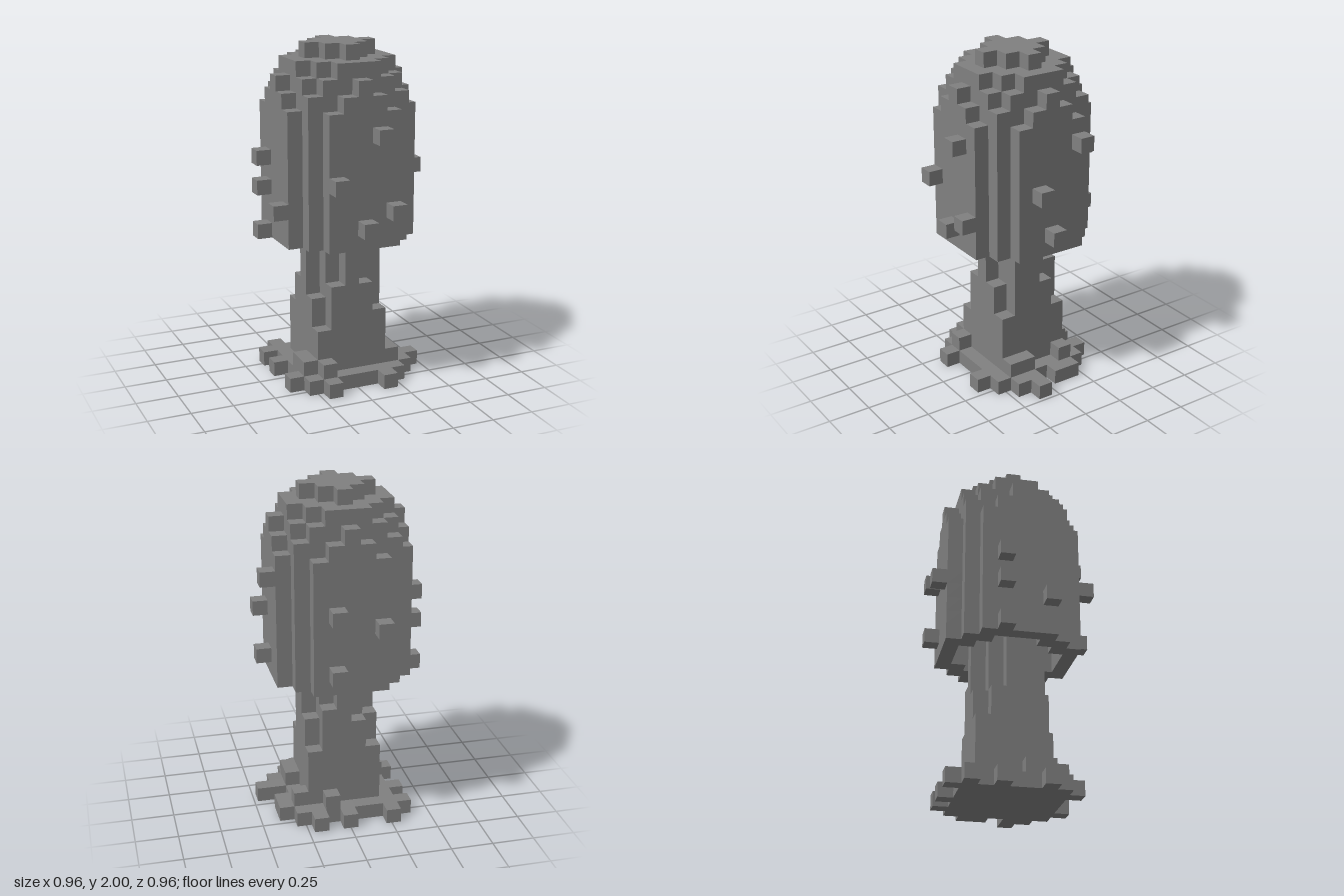
import * as THREE from 'three';
import { mergeGeometries } from 'three/addons/utils/BufferGeometryUtils.js';

const U = 2 / 23; // edge of one cube
const key = (x, y, z) => `${x},${y},${z}`;

// One outward quad for each side of a cube
const sides = [
  [1, 0, 0], [-1, 0, 0], [0, 1, 0], [0, -1, 0], [0, 0, 1], [0, 0, -1],
].map((d) => {
  const dir = new THREE.Vector3(...d);
  const face = new THREE.PlaneGeometry(U, U);
  face.applyQuaternion(new THREE.Quaternion().setFromUnitVectors(new THREE.Vector3(0, 0, 1), dir));
  face.translate(...dir.multiplyScalar(U / 2).toArray());
  return { d, face };
});

// Mesh of the exposed cube sides only
function cubeMesh(name, cells, filled, material) {
  const faces = [];
  for (const [x, y, z] of cells) {
    for (const { d, face } of sides) {
      if (filled.has(key(x + d[0], y + d[1], z + d[2]))) continue;
      faces.push(face.clone().translate(x * U, (y + 0.5) * U, z * U));
    }
  }
  const mesh = new THREE.Mesh(mergeGeometries(faces), material);
  mesh.name = name;
  return mesh;
}

// Hollow domed cap, open underneath: straight wall, then four shrinking layers
function capCells() {
  const cells = [];
  for (let y = 10; y <= 22; y++) {
    const outer = y <= 18 ? 20 : [18, 16, 10, 4][y - 19]; // squared radii
    const inner = y <= 19 ? 10 : -1;
    for (let x = -4; x <= 4; x++)
      for (let z = -4; z <= 4; z++) {
        const r2 = x * x + z * z;
        if (r2 <= outer && r2 > inner) cells.push([x, y, z]);
      }
  }
  return cells;
}

// Stem: diamond core, with shorter columns filling its corners
function stemCells() {
  const heights = {
    '1,2': 7, '-1,2': 7, '2,2': 5, '-2,2': 4, '-2,1': 6,
    '2,-1': 7, '1,-2': 8, '2,-2': 5, '-1,-2': 7, '-2,-1': 7, '-2,-2': 5,
  };
  const cells = [];
  for (let x = -2; x <= 2; x++)
    for (let z = -2; z <= 2; z++) {
      const top = heights[`${x},${z}`] ?? 20;
      for (let y = 1; y < top; y++) cells.push([x, y, z]);
    }
  return cells;
}

// Base: round slab with a ragged rim and a few raised cubes
function baseCells() {
  const cells = [];
  for (let x = -3; x <= 3; x++)
    for (let z = -3; z <= 3; z++)
      if (x * x + z * z <= 13) cells.push([x, 0, z]);
  const rim = [
    [2, 4], [-2, 4], [3, 3], [-3, 3], [4, 2], [4, 1], [5, 1], [4, -1], [4, -2],
    [3, -3], [2, -4], [0, -4], [-3, -3], [-3, -4], [-4, -3], [-4, -1], [-4, 2],
  ];
  const raised = [[3, 1], [3, 2], [3, -2], [-2, 3], [-3, 2], [1, -3], [-3, 1]];
  rim.forEach(([x, z]) => cells.push([x, 0, z]));
  raised.forEach(([x, z]) => cells.push([x, 1, z]));
  return cells;
}

// Single cubes standing out from the cap walls
const spotCells = [
  [1, 17, 5], [-2, 14, 5], [2, 12, 5], [0, 11, 5],
  [5, 14, 1], [5, 11, 0], [5, 17, -2],
  [1, 15, -5], [1, 11, -5], [-2, 14, -5],
  [-5, 15, -1], [-5, 13, -1], [-5, 10, -1], [-5, 12, 2],
];

export function createModel() {
  const group = new THREE.Group();
  group.name = 'mushroom';
  const material = new THREE.MeshStandardMaterial({ color: 0x808080, flatShading: true });
  const parts = { cap: capCells(), capSpots: spotCells, stem: stemCells(), base: baseCells() };
  const filled = new Set(Object.values(parts).flat().map((c) => key(...c)));
  for (const [name, cells] of Object.entries(parts)) {
    group.add(cubeMesh(name, cells, filled, material));
  }
  return group;
}
